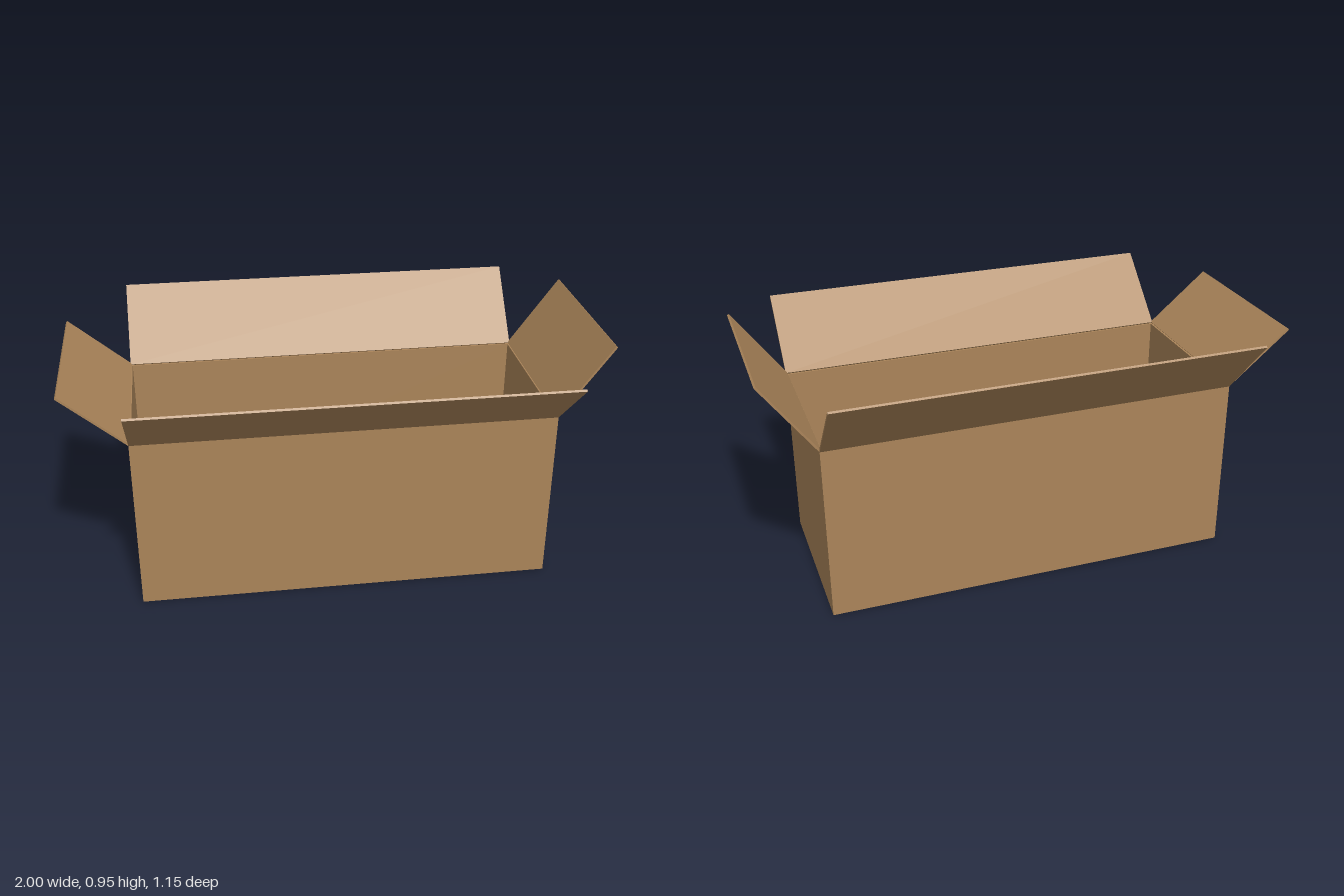
import * as THREE from 'three';

const T = 0.008; // board thickness
const X0 = -0.765, X1 = 0.805, Z0 = -0.35, Z1 = 0.325, H = 0.68;

export function createModel() {
  const model = new THREE.Group();
  model.name = 'openBox';
  const cardboard = new THREE.MeshStandardMaterial({ color: 0xaa8459 });
  cardboard.name = 'cardboard';

  // Axis-aligned board between two corners
  function board(name, x0, x1, y0, y1, z0, z1) {
    const mesh = new THREE.Mesh(new THREE.BoxGeometry(x1 - x0, y1 - y0, z1 - z0), cardboard);
    mesh.position.set((x0 + x1) / 2, (y0 + y1) / 2, (z0 + z1) / 2);
    mesh.name = name;
    model.add(mesh);
  }

  // Flap hinged on the outer top edge, reaching "out" sideways and "up" from it
  function flap(name, width, hinge, facing, out, up) {
    const length = Math.hypot(out, up);
    const geometry = new THREE.BoxGeometry(width, length, T);
    geometry.translate(0, length / 2, -T / 2);
    geometry.rotateX(Math.atan2(out, up));
    const mesh = new THREE.Mesh(geometry, cardboard);
    mesh.rotation.y = facing;
    mesh.position.set(hinge[0], H, hinge[1]);
    mesh.name = name;
    model.add(mesh);
  }

  // Floor and four walls
  board('floor', X0, X1, 0, T, Z0, Z1);
  board('frontWall', X0, X1, T, H, Z1 - T, Z1);
  board('backWall', X0, X1, T, H, Z0, Z0 + T);
  board('leftWall', X1 - T, X1, T, H, Z0 + T, Z1 - T);
  board('rightWall', X0, X0 + T, T, H, Z0 + T, Z1 - T);

  // Four open flaps, each at its own angle
  const cx = (X0 + X1) / 2, cz = (Z0 + Z1) / 2;
  flap('frontFlap', X1 - X0, [cx, Z1], 0, 0.25, 0.23);
  flap('backFlap', X1 - X0, [cx, Z0], Math.PI, 0.228, 0.253);
  flap('leftFlap', Z1 - Z0, [X1, cz], Math.PI / 2, 0.195, 0.27);
  flap('rightFlap', Z1 - Z0, [X0, cz], -Math.PI / 2, 0.235, 0.2);

  return model;
}
